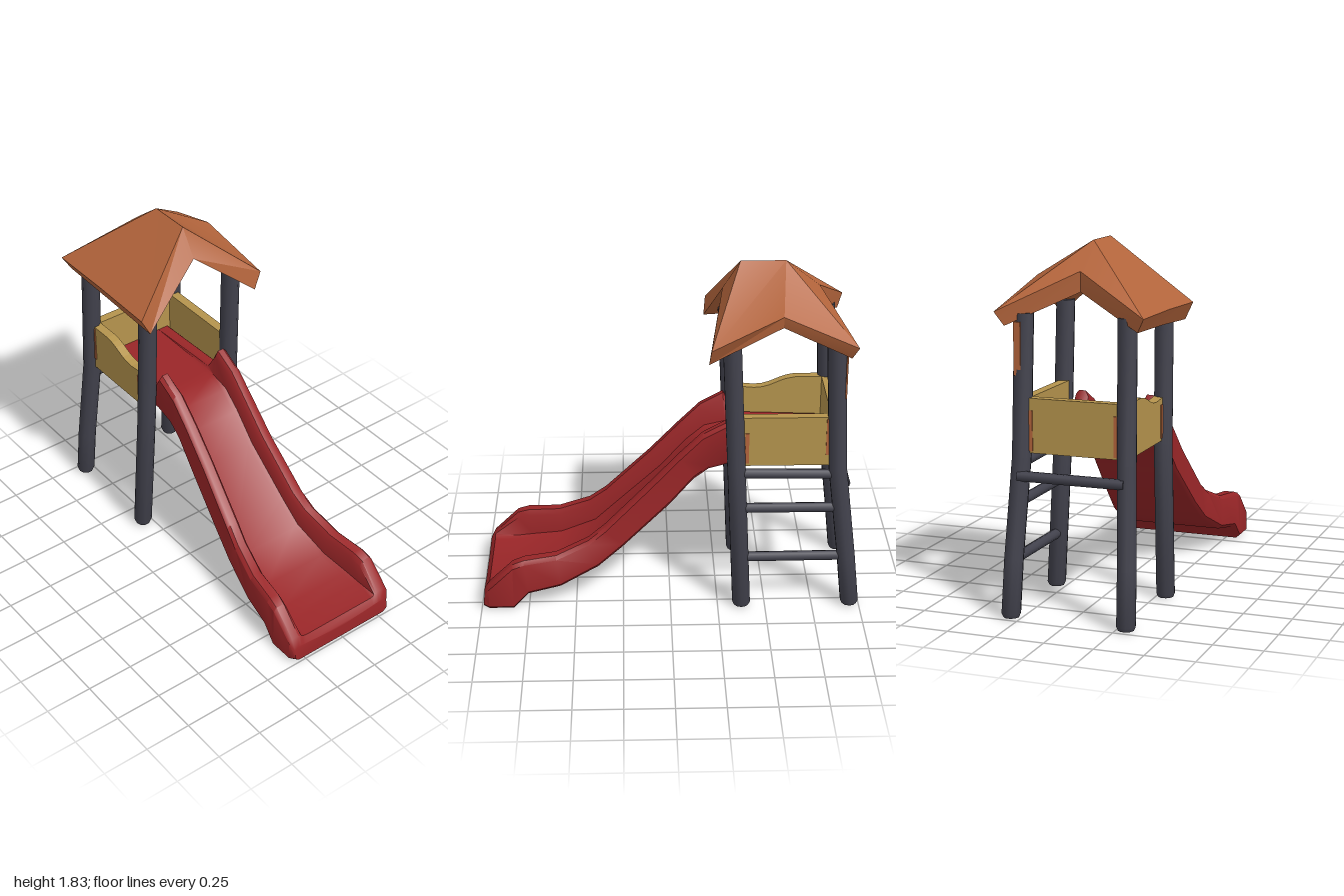
import * as THREE from 'three';
import { toCreasedNormals } from 'three/addons/utils/BufferGeometryUtils.js';

const material = (name, color) => Object.assign(new THREE.MeshStandardMaterial({ color }), { name });
const red = material('slide red', 0x9a2628);
const rust = material('roof terracotta', 0xb4653c);
const slate = material('post slate', 0x42424d);
const ochre = material('panel ochre', 0xb5944d);

// Skin a closed surface over a series of rings with equal point counts
function loft(rings, crease) {
  const n = rings[0].length;
  const pos = [];
  const tri = (a, b, c) => pos.push(...a, ...b, ...c);
  const centre = (r) => [0, 1, 2].map((k) => r.reduce((s, p) => s + p[k], 0) / n);
  const first = rings[0], last = rings[rings.length - 1];
  const c0 = centre(first), c1 = centre(last);
  for (let j = 0; j < n; j++) {
    const k = (j + 1) % n;
    for (let i = 0; i < rings.length - 1; i++) {
      const r = rings[i], s = rings[i + 1];
      tri(r[j], r[k], s[k]);
      tri(r[j], s[k], s[j]);
    }
    tri(c0, first[k], first[j]);
    tri(c1, last[j], last[k]);
  }
  return finish(pos, crease);
}

function finish(pos, crease) {
  const g = new THREE.BufferGeometry();
  g.setAttribute('position', new THREE.Float32BufferAttribute(pos, 3));
  g.computeVertexNormals();
  return toCreasedNormals(g, crease);
}

export function createModel() {
  const model = new THREE.Group();
  model.name = 'playTower';
  const add = (name, geometry, mat) => {
    const mesh = new THREE.Mesh(geometry, mat);
    mesh.name = name;
    model.add(mesh);
    return mesh;
  };
  const box = (name, mat, size, at) =>
    add(name, new THREE.BoxGeometry(...size), mat).position.set(...at);

  // Leaning posts: [y, x, z] of the centre line, slightly rounded at both ends
  const frontPath = [[0.01, 0.3, -0.375], [0.03, 0.3, -0.375], [0.8, 0.272, -0.34], [1.5, 0.265, -0.308]];
  const rearPath = [[0.01, 0.3, -0.95], [0.03, 0.3, -0.95], [0.3, 0.294, -0.922], [0.8, 0.272, -0.862], [1.5, 0.265, -0.83]];
  for (const side of [-1, 1]) {
    for (const [name, path] of [['frontPost', frontPath], ['rearPost', rearPath]]) {
      const rings = path.map(([y, x, z], i) => {
        const r = i === 0 ? 0.04 : 0.049;
        return Array.from({ length: 10 }, (_, j) => {
          const a = (j / 10) * Math.PI * 2;
          return [side * x + r * Math.cos(a), y, z - r * Math.sin(a)];
        });
      });
      add(name, loft(rings, 0.8), slate);
    }
  }

  // Ladder rungs on the left side and one bar across the back
  const rung = (name, a, b) => {
    const from = new THREE.Vector3(...a), to = new THREE.Vector3(...b);
    const dir = to.clone().sub(from);
    const mesh = add(name, new THREE.CylinderGeometry(0.026, 0.026, dir.length(), 10), slate);
    mesh.position.copy(from).add(to).multiplyScalar(0.5);
    mesh.quaternion.setFromUnitVectors(new THREE.Vector3(0, 1, 0), dir.normalize());
  };
  rung('topRung', [0.275, 0.775, -0.34], [0.275, 0.765, -0.865]);
  rung('middleRung', [0.28, 0.575, -0.35], [0.28, 0.575, -0.89]);
  rung('lowerRung', [0.29, 0.29, -0.36], [0.293, 0.295, -0.92]);
  rung('backBar', [-0.275, 0.71, -0.905], [0.275, 0.71, -0.905]);

  // Guard panels: the right one dips toward the slide
  box('leftPanel', ochre, [0.05, 0.27, 0.47], [0.255, 0.955, -0.595]);
  box('backPanel', ochre, [0.5, 0.27, 0.05], [0, 0.955, -0.845]);
  const dip = new THREE.Shape();
  dip.moveTo(0.36, 0.82);
  dip.lineTo(0.83, 0.82);
  dip.lineTo(0.83, 1.09);
  dip.lineTo(0.68, 1.09);
  dip.bezierCurveTo(0.58, 1.08, 0.56, 1.03, 0.46, 1.03);
  dip.lineTo(0.36, 1.04);
  const dipGeo = new THREE.ExtrudeGeometry(dip, { depth: 0.05, bevelEnabled: false, curveSegments: 6 });
  dipGeo.rotateY(Math.PI / 2);
  add('rightPanel', dipGeo, ochre).position.x = -0.28;

  // Worn rust edges on the panels and rear post
  for (const s of [-1, 1]) {
    box('panelEdgeFront', rust, [0.006, 0.17, 0.02], [s * 0.282, 0.92, -0.392]);
    box('panelEdgeRear', rust, [0.006, 0.2, 0.02], [s * 0.282, 0.98, -0.806]);
    box('panelEdgeBack', rust, [0.02, 0.2, 0.006], [s * 0.22, 0.93, -0.872]);
  }
  box('postStreak', rust, [0.035, 0.26, 0.008], [0.28, 1.33, -0.885]);

  // Slide: [bottom z, y, bed z, y, rail z, y, outer half width, inner half width]
  const stations = [
    [0.99, 0.01, 0.985, 0.09, 0.985, 0.1, 0.31, 0.25],
    [0.96, 0.005, 0.96, 0.125, 0.96, 0.145, 0.33, 0.25],
    [0.83, 0.005, 0.84, 0.13, 0.83, 0.27, 0.33, 0.245],
    [0.75, 0.09, 0.75, 0.145, 0.77, 0.29, 0.325, 0.235],
    [0.58, 0.12, 0.59, 0.17, 0.6, 0.305, 0.3, 0.215],
    [0.38, 0.22, 0.4, 0.26, 0.43, 0.375, 0.268, 0.185],
    [0.25, 0.33, 0.29, 0.37, 0.34, 0.445, 0.252, 0.17],
    [0, 0.57, 0.04, 0.61, 0.1, 0.685, 0.228, 0.15],
    [-0.12, 0.71, -0.09, 0.76, -0.05, 0.845, 0.222, 0.147],
    [-0.2, 0.77, -0.19, 0.845, -0.17, 0.965, 0.22, 0.147],
    [-0.31, 0.8, -0.3, 0.87, -0.29, 1.03, 0.22, 0.147],
    [-0.36, 0.805, -0.36, 0.873, -0.36, 0.9, 0.225, 0.15],
    [-0.83, 0.812, -0.83, 0.873, -0.83, 0.88, 0.23, 0.15],
  ];
  const slideRings = stations.map(([bz, by, mz, my, tz, ty, wo, wi]) => {
    const half = [
      [-wo * 0.93, by, bz],
      [-wo, by + 0.02, bz],
      [-wo, ty - 0.02, tz],
      [-wo + 0.018, ty, tz],
      [-wi - 0.02, ty, tz],
      [-wi - 0.004, my + (ty - my) * 0.8, mz + (tz - mz) * 0.8],
      [-wi + 0.005, my + 0.008, mz],
      [-wi + 0.03, my, mz],
    ];
    return [...half, ...half.map(([x, y, z]) => [-x, y, z]).reverse()];
  });
  const slideMesh = add('slide', loft(slideRings, 0.75), red);
  slideMesh.name = 'slideAndPlatform';

  // Roof: gables at front, left and back, plain slope on the right
  const top = [
    [-0.38, 1.5, -0.2], [0, 1.835, -0.36], [0.38, 1.5, -0.2], [0.31, 1.65, -0.56],
    [0.38, 1.51, -0.93], [0, 1.7, -0.765], [-0.38, 1.51, -0.93], [-0.38, 1.51, -0.56],
  ];
  const under = [
    [-0.335, 1.41, -0.19], [0, 1.69, -0.27], [0.335, 1.41, -0.19], [0.3, 1.59, -0.56],
    [0.34, 1.44, -0.9], [0, 1.6, -0.76], [-0.34, 1.44, -0.9], [-0.34, 1.43, -0.56],
  ];
  const topHub = [0, 1.835, -0.59], underHub = [0, 1.71, -0.56];
  const roof = [];
  for (let i = 0; i < 8; i++) {
    const j = (i + 1) % 8;
    roof.push(...topHub, ...top[i], ...top[j]);
    roof.push(...underHub, ...under[j], ...under[i]);
    roof.push(...under[i], ...under[j], ...top[j], ...under[i], ...top[j], ...top[i]);
  }
  add('roof', finish(roof, 0.35), rust);

  return model;
}
